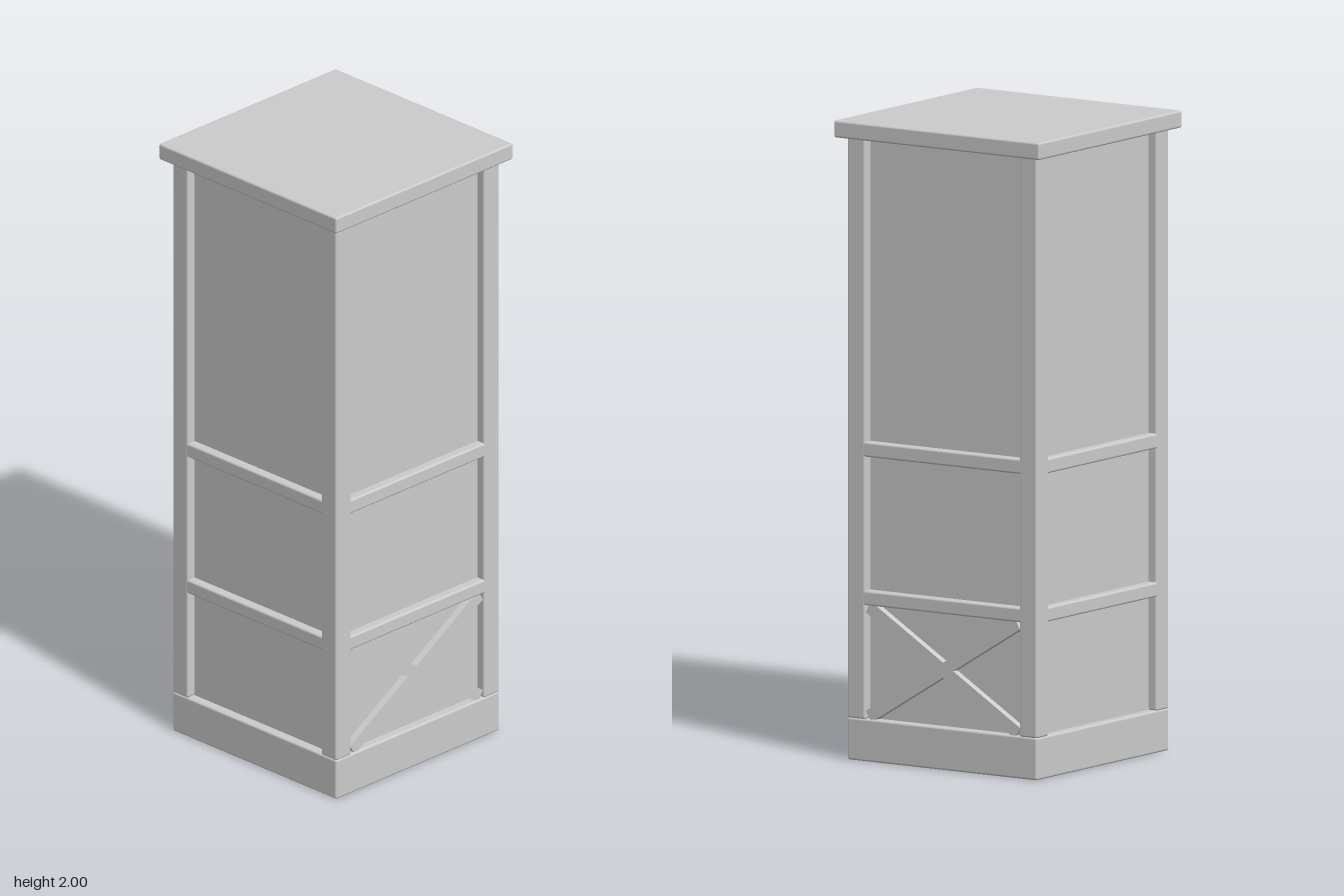
import * as THREE from 'three';
import { RoundedBoxGeometry } from 'three/addons/geometries/RoundedBoxGeometry.js';

const paint = new THREE.MeshStandardMaterial({ color: 0xcccccc });
paint.name = 'light grey paint';

const HALF = 0.357; // half width of the body
const POST = 0.067; // corner post thickness
const PANEL = 0.327; // half width of the recessed panels

function add(parent, name, geometry, x = 0, y = 0, z = 0) {
  const mesh = new THREE.Mesh(geometry, paint);
  mesh.name = name;
  mesh.position.set(x, y, z);
  parent.add(mesh);
  return mesh;
}

// Box with softened edges, spanning y0 to y1
function softBox(parent, name, w, y0, y1, d, x = 0, z = 0) {
  const geometry = new RoundedBoxGeometry(w, y1 - y0, d, 2, 0.007);
  return add(parent, name, geometry, x, (y0 + y1) / 2, z);
}

// X-shaped brace outline: two crossed bars of the given half width
function braceGeometry(angle, halfLength, halfWidth, depth) {
  const c = Math.cos(angle), s = Math.sin(angle);
  const notchX = halfWidth / s, notchY = halfWidth / c;
  const ex = c * halfLength, ey = s * halfLength;
  const dx = s * halfWidth, dy = c * halfWidth;
  const points = [
    [notchX, 0], [ex + dx, ey - dy], [ex - dx, ey + dy],
    [0, notchY], [-ex + dx, ey + dy], [-ex - dx, ey - dy],
    [-notchX, 0], [-ex - dx, -ey + dy], [-ex + dx, -ey - dy],
    [0, -notchY], [ex - dx, -ey - dy], [ex + dx, -ey + dy],
  ].map(([x, y]) => new THREE.Vector2(x, y));
  return new THREE.ExtrudeGeometry(new THREE.Shape(points), { depth, bevelEnabled: false });
}

export function createModel() {
  const model = new THREE.Group();
  model.name = 'column';

  // Plinth, recessed core and cap
  softBox(model, 'basePlinth', HALF * 2, 0, 0.133, HALF * 2);
  add(model, 'panelCore', new THREE.BoxGeometry(PANEL * 2, 1.85, PANEL * 2), 0, 1.035, 0);
  softBox(model, 'topCap', 0.774, 1.946, 2, 0.774);

  // Corner posts
  const offset = HALF - POST / 2;
  for (const x of [-offset, offset])
    for (const z of [-offset, offset])
      softBox(model, 'cornerPost', POST, 0.131, 1.955, POST, x, z);

  // Two rails on each side, cross braces on the left and back sides
  const brace = braceGeometry(Math.atan2(0.355, 0.58), 0.328, 0.02, 0.028);
  const sides = [['front', 0, false], ['left', 1, true], ['back', 2, true], ['right', 3, false]];
  for (const [name, turn, braced] of sides) {
    const side = new THREE.Group();
    side.name = name + 'Side';
    side.rotation.y = turn * Math.PI / 2;
    softBox(side, 'lowerRail', 0.62, 0.488, 0.534, 0.05, 0, HALF - 0.0255);
    softBox(side, 'middleRail', 0.62, 0.952, 0.999, 0.05, 0, HALF - 0.0255);
    if (braced) add(side, 'crossBrace', brace, 0, 0.312, PANEL - 0.004);
    model.add(side);
  }
  return model;
}
